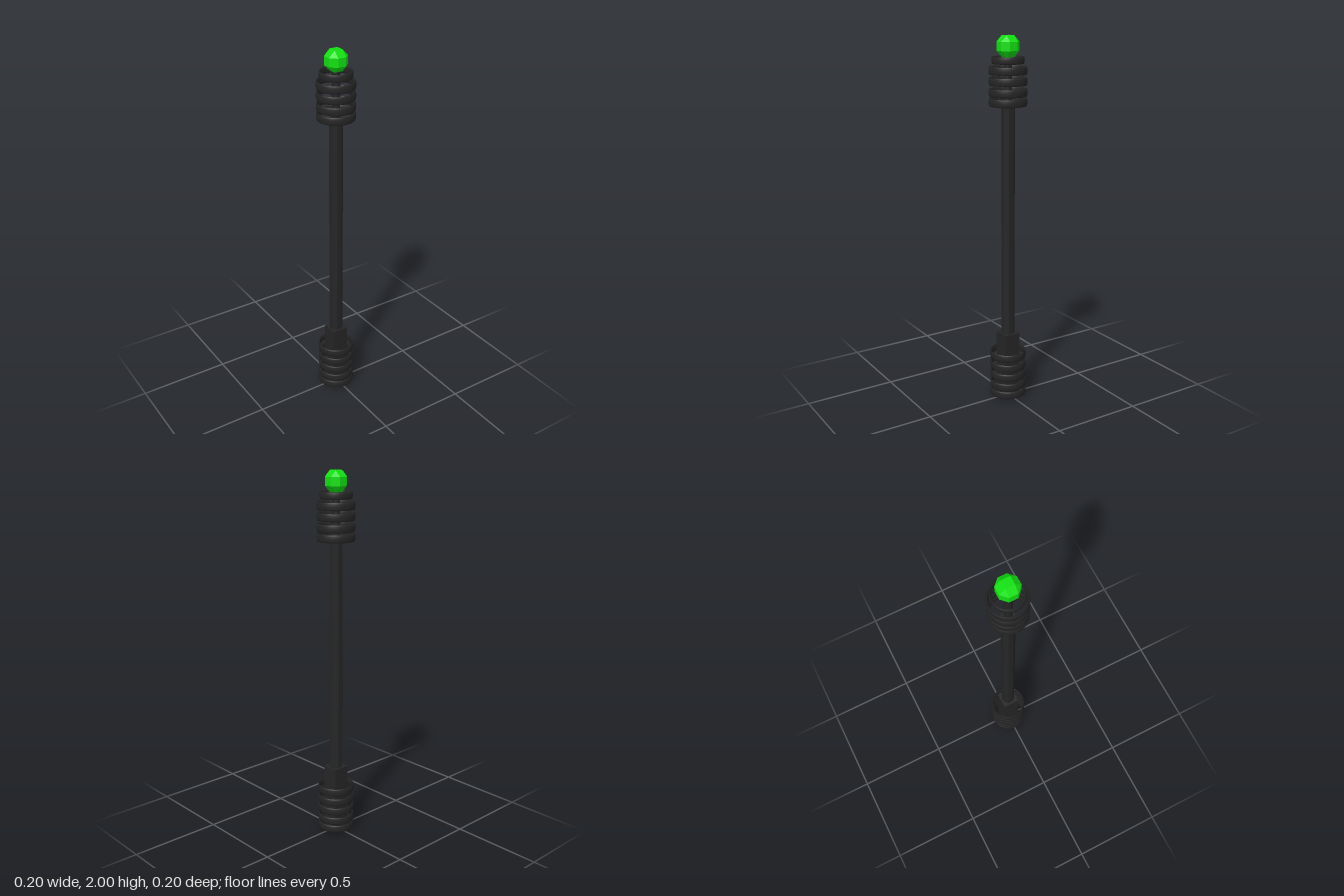
import * as THREE from 'three';
import { ConvexGeometry } from 'three/addons/geometries/ConvexGeometry.js';

const dark = new THREE.MeshStandardMaterial({ color: 0x252525 });
const darkFlat = new THREE.MeshStandardMaterial({ color: 0x252525, flatShading: true });
const green = new THREE.MeshStandardMaterial({ color: 0x10e010, flatShading: true });

export function createModel() {
  const model = new THREE.Group();

  const add = (name, geometry, material, y) => {
    const mesh = new THREE.Mesh(geometry, material);
    mesh.name = name;
    mesh.position.y = y;
    model.add(mesh);
    return mesh;
  };

  // Octagonal bar with flat sides facing the axes, measured across the flats
  const bar = (name, halfWidth, bottom, top) => {
    const r = halfWidth / Math.cos(Math.PI / 8);
    const geometry = new THREE.CylinderGeometry(r, r, top - bottom, 8).rotateY(Math.PI / 8);
    add(name, geometry, darkFlat, (bottom + top) / 2);
  };

  // Thin floating hoop, taller than it is thick
  const ring = (name, outer, height, y) => {
    const tube = 0.005;
    const geometry = new THREE.TorusGeometry(outer - tube, tube, 10, 40)
      .rotateX(Math.PI / 2)
      .scale(1, height / (2 * tube), 1);
    add(name, geometry, dark, y);
  };

  // Square grip, shaft and the thin neck
  add('grip', new THREE.BoxGeometry(0.093, 0.38, 0.093), darkFlat, 0.19);
  bar('shaft', 0.034, 0.37, 1.645);
  bar('neck', 0.02, 1.64, 1.9);

  // Hoops around the grip and the neck
  [0.035, 0.083, 0.141, 0.197, 0.257].forEach((y) => ring('gripRing', 0.101, 0.042, y));
  [1.661, 1.711, 1.768, 1.823].forEach((y) => ring('neckRing', 0.101, 0.042, y));
  ring('topRing', 0.086, 0.038, 1.875);

  // Faceted gem: small cube faces joined by square and triangular bevels
  const far = 0.055, near = far * (Math.SQRT2 - 1);
  const points = [];
  for (const sx of [-1, 1]) for (const sy of [-1, 1]) for (const sz of [-1, 1]) {
    for (let axis = 0; axis < 3; axis++) {
      const [x, y, z] = [0, 1, 2].map((i) => (i === axis ? far : near));
      points.push(new THREE.Vector3(sx * x, sy * y, sz * z));
    }
  }
  add('gem', new ConvexGeometry(points), green, 2 - far);

  return model;
}
